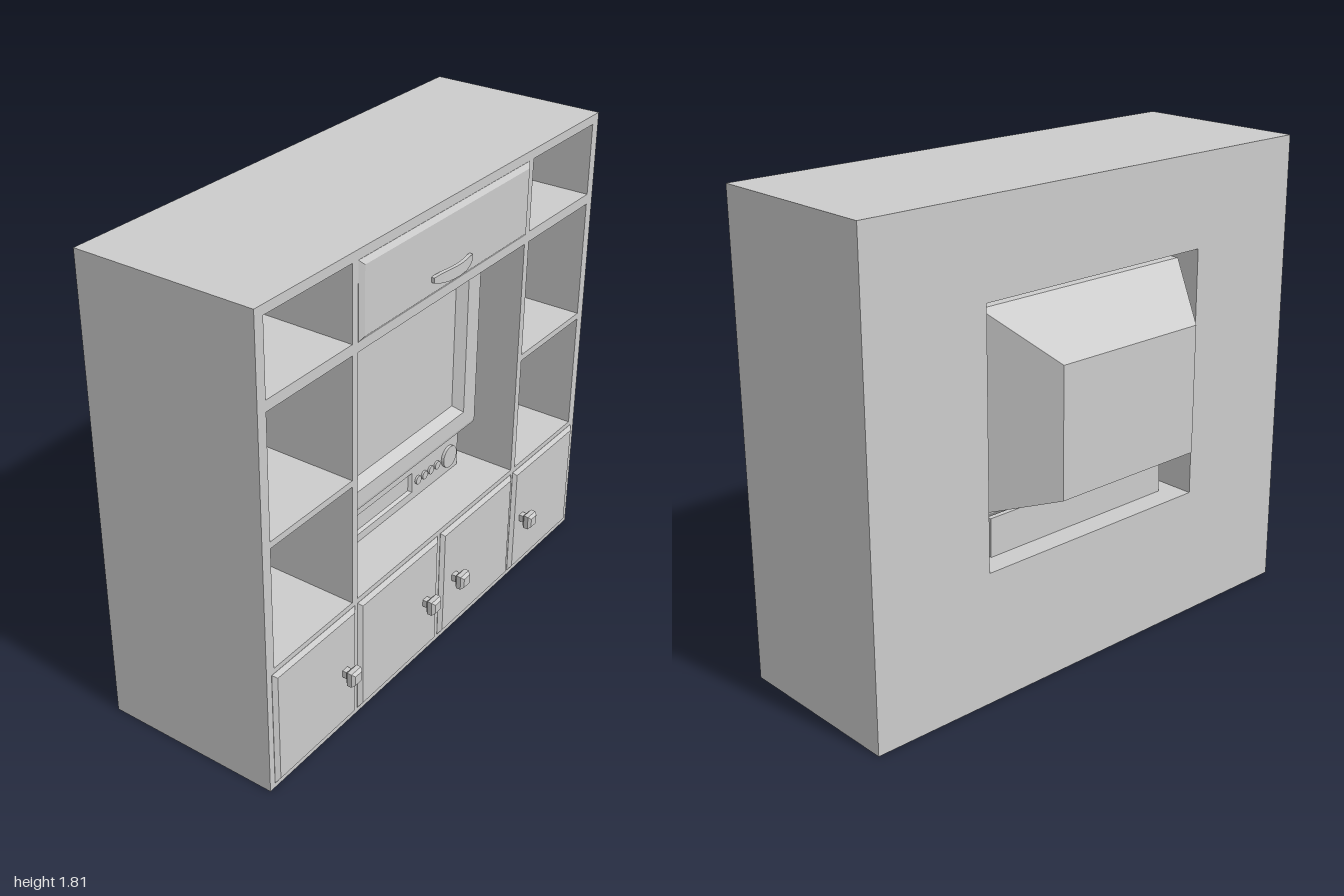
import * as THREE from 'three';

const material = new THREE.MeshStandardMaterial({ color: 0xcccccc, flatShading: true });

function add(parent, name, geometry, x = 0, y = 0, z = 0) {
  const mesh = new THREE.Mesh(geometry, material);
  mesh.name = name;
  mesh.position.set(x, y, z);
  parent.add(mesh);
  return mesh;
}

// Closed solid through rectangular rings [x0, x1, y0, y1, z], starting at the back
function loft(rings) {
  const pos = [];
  const loops = rings.map(([x0, x1, y0, y1, z]) => [[x0, y0, z], [x1, y0, z], [x1, y1, z], [x0, y1, z]]);
  const quad = (a, b, c, d) => pos.push(...a, ...b, ...c, ...a, ...c, ...d);
  for (let k = 0; k < loops.length - 1; k++) {
    const a = loops[k], b = loops[k + 1];
    for (let i = 0; i < 4; i++) quad(a[i], a[(i + 1) % 4], b[(i + 1) % 4], b[i]);
  }
  const first = loops[0];
  quad(first[3], first[2], first[1], first[0]);
  quad(...loops[loops.length - 1]);
  const g = new THREE.BufferGeometry();
  g.setAttribute('position', new THREE.Float32BufferAttribute(pos, 3));
  g.computeVertexNormals();
  return g;
}

function rectangle(path, x0, x1, y0, y1) {
  path.moveTo(x0, y0);
  path.lineTo(x1, y0);
  path.lineTo(x1, y1);
  path.lineTo(x0, y1);
  path.closePath();
  return path;
}

// Cabinet slab with rectangular holes, between two depths
function slab(holes, z0, z1) {
  const shape = rectangle(new THREE.Shape(), -1, 1, 0, 1.81);
  for (const h of holes) shape.holes.push(rectangle(new THREE.Path(), ...h));
  const g = new THREE.ExtrudeGeometry(shape, { depth: z1 - z0, bevelEnabled: false });
  return g.translate(0, 0, z0);
}

// Raised panel with a bevelled rim
function panel(x0, x1, y0, y1, rim) {
  return loft([
    [x0, x1, y0, y1, 0.385],
    [x0, x1, y0, y1, 0.396],
    [x0 + rim, x1 - rim, y0 + rim, y1 - rim, 0.408],
  ]);
}

export function createModel() {
  const model = new THREE.Group();
  model.name = 'televisionCabinet';

  // Carcass: open side shelves and a centre bay that runs right through
  const bay = [-0.505, 0.505, 0.505, 1.46];
  const shelves = [];
  for (const [y0, y1] of [[0.505, 0.975], [1.0, 1.46], [1.5, 1.775]]) {
    shelves.push([-0.96, -0.535, y0, y1], [0.535, 0.96, y0, y1]);
  }
  add(model, 'carcass', slab([bay, ...shelves], -0.285, 0.395));
  add(model, 'backPanel', slab([bay], -0.305, -0.285));

  // Lower doors
  for (const [x0, x1] of [[-0.975, -0.52], [-0.505, -0.01], [0.01, 0.505], [0.52, 0.975]]) {
    add(model, 'door', panel(x0, x1, 0.02, 0.485, 0.016));
  }

  // Square door knobs
  const square = (r, z) => [-r, r, -r, r, z];
  const knob = loft([
    square(0.014, 0.4), square(0.014, 0.43), square(0.021, 0.43), square(0.028, 0.438),
    square(0.028, 0.456), square(0.019, 0.467),
  ]);
  for (const x of [-0.595, -0.1, 0.095, 0.587]) add(model, 'doorKnob', knob, x, 0.25, 0);

  // Top flap and its bowed handle
  add(model, 'topFlap', panel(-0.505, 0.505, 1.495, 1.775, 0.018));
  const handle = new THREE.BoxGeometry(0.234, 0.042, 0.014, 12, 1, 1);
  const p = handle.attributes.position;
  for (let i = 0; i < p.count; i++) {
    const t = p.getX(i) / 0.117;
    p.setY(i, p.getY(i) * (1 - 0.55 * t ** 4));
    p.setZ(i, p.getZ(i) + 0.023 * (1 - t * t));
  }
  handle.computeVertexNormals();
  add(model, 'flapHandle', handle, 0, 1.563, 0.412);

  // Television: tapered back, box, bezel and sunken screen
  const television = new THREE.Group();
  television.name = 'television';
  model.add(television);
  add(television, 'televisionBody', loft([
    [-0.32, 0.32, 0.77, 1.25, -0.47],
    [-0.475, 0.475, 0.695, 1.42, -0.235],
    [-0.48, 0.48, 0.695, 1.42, 0.235],
    [-0.405, 0.4, 0.76, 1.36, 0.235],
    [-0.37, 0.37, 0.79, 1.33, 0.2],
  ]));

  // Tapered foot, lofted upwards
  add(television, 'televisionFoot', loft([
    [-0.435, 0.435, -0.19, 0.19, 0.65],
    [-0.462, 0.462, -0.215, 0.218, 0.664],
    [-0.478, 0.478, -0.232, 0.232, 0.682],
    [-0.48, 0.48, -0.235, 0.235, 0.696],
  ]).rotateX(-Math.PI / 2));

  // Player under the television, with a sunken slot and round controls
  const player = new THREE.Group();
  player.name = 'player';
  model.add(player);
  add(player, 'playerBody', loft([
    [-0.43, 0.42, 0.505, 0.652, -0.215],
    [-0.43, 0.42, 0.505, 0.652, 0.2],
    [-0.35, 0.11, 0.537, 0.622, 0.2],
    [-0.34, 0.1, 0.545, 0.61, 0.188],
  ]));
  const dial = (name, x, r, depth) => add(player, name,
    new THREE.CylinderGeometry(r, r, depth, 20).rotateX(Math.PI / 2), x, 0.576, 0.2);
  for (const x of [0.145, 0.188, 0.231, 0.274]) dial('playerButton', x, 0.017, 0.016);
  dial('playerDial', 0.353, 0.045, 0.024);

  return model;
}
